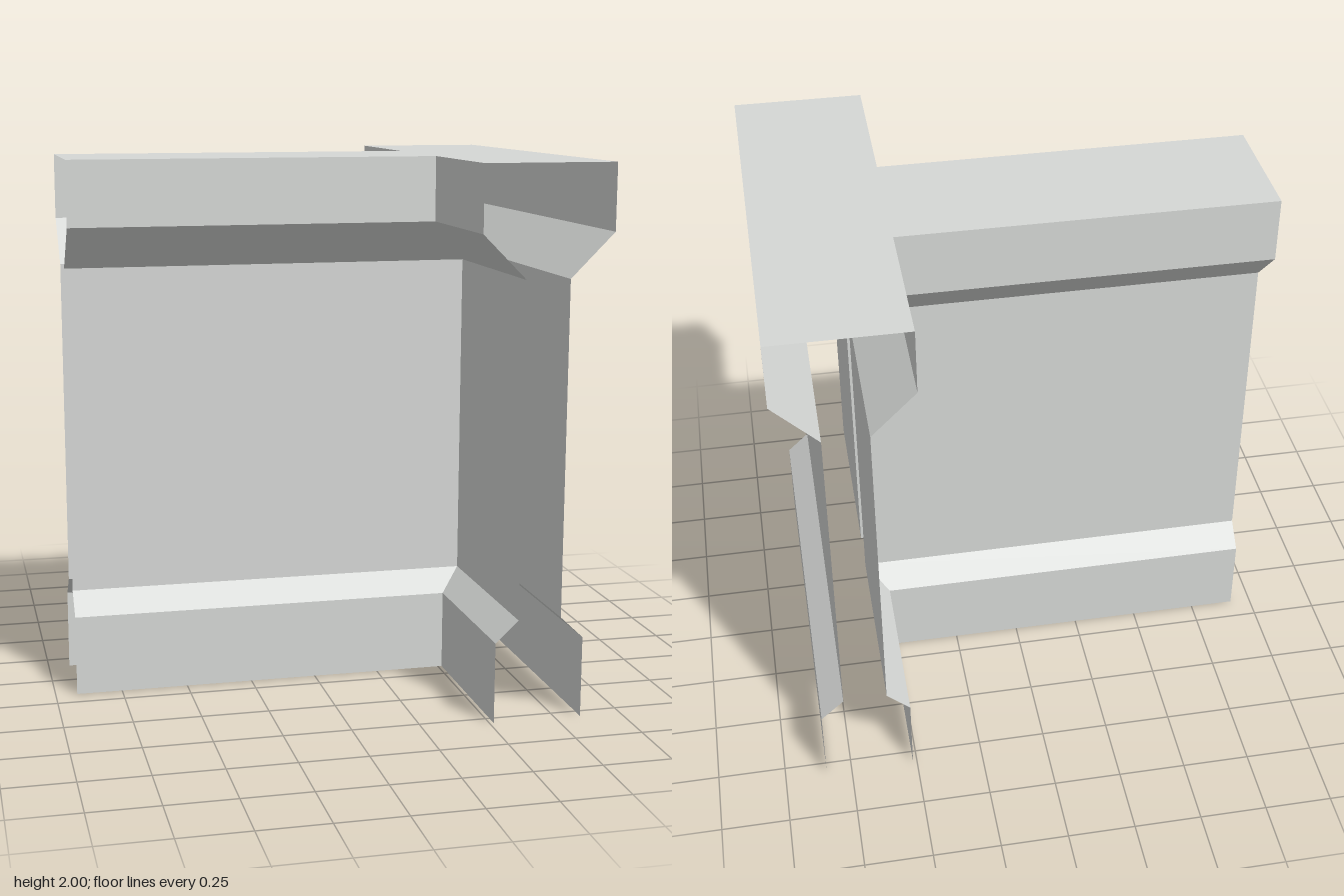
import * as THREE from 'three';

const BAR_X = 0.68;   // centre line of the cross wall
const END_X = -0.92;  // open end of the stem wall
const END_Z = 0.8;    // open ends of the cross wall

// Wall profile, top to bottom: half thickness, height
const PROFILE = [[0.24, 2], [0.24, 1.76], [0.08, 1.6], [0.08, 0.38], [0.165, 0.3], [0.165, 0]];
const BANDS = ['cap', 'capBevel', 'panel', 'baseBevel', 'plinth'];

// Plan paths [x, z] at half thickness h, running left to right seen from outside
const SIDES = {
  outer: (h) => [[BAR_X + h, END_Z], [BAR_X + h, -END_Z]],
  front: (h) => [[END_X, h], [BAR_X - h, h], [BAR_X - h, END_Z]],
  back: (h) => [[BAR_X - h, -END_Z], [BAR_X - h, -h], [END_X, -h]],
};

// One mitred strip between two profile points
function stripGeometry(plan, [h0, y0], [h1, y1]) {
  const top = plan(h0).map(([x, z]) => [x, y0, z]);
  const low = plan(h1).map(([x, z]) => [x, y1, z]);
  const pos = [];
  for (let i = 0; i < top.length - 1; i++) {
    pos.push(...top[i], ...low[i], ...low[i + 1], ...top[i], ...low[i + 1], ...top[i + 1]);
  }
  const geo = new THREE.BufferGeometry();
  geo.setAttribute('position', new THREE.Float32BufferAttribute(pos, 3));
  geo.computeVertexNormals();
  return geo;
}

export function createModel() {
  const model = new THREE.Group();
  model.name = 'wallJunction';
  const stone = new THREE.MeshStandardMaterial({ color: 0xd6d8d6, side: THREE.DoubleSide });
  stone.name = 'paleGrey';

  // Hollow wall shells, open at the ends and underneath
  for (const [side, plan] of Object.entries(SIDES)) {
    const wall = new THREE.Group();
    wall.name = side + 'Wall';
    BANDS.forEach((band, i) => {
      const mesh = new THREE.Mesh(stripGeometry(plan, PROFILE[i], PROFILE[i + 1]), stone);
      mesh.name = band;
      wall.add(mesh);
    });
    model.add(wall);
  }

  // T-shaped top sheet, outlined by the three wall paths
  const [h, y] = PROFILE[0];
  const outline = [...SIDES.outer(h), ...SIDES.back(h), ...SIDES.front(h)];
  const shape = new THREE.Shape(outline.map(([x, z]) => new THREE.Vector2(x, -z)));
  const top = new THREE.Mesh(new THREE.ShapeGeometry(shape).rotateX(-Math.PI / 2), stone);
  top.position.y = y;
  top.name = 'topSheet';
  model.add(top);

  return model;
}
